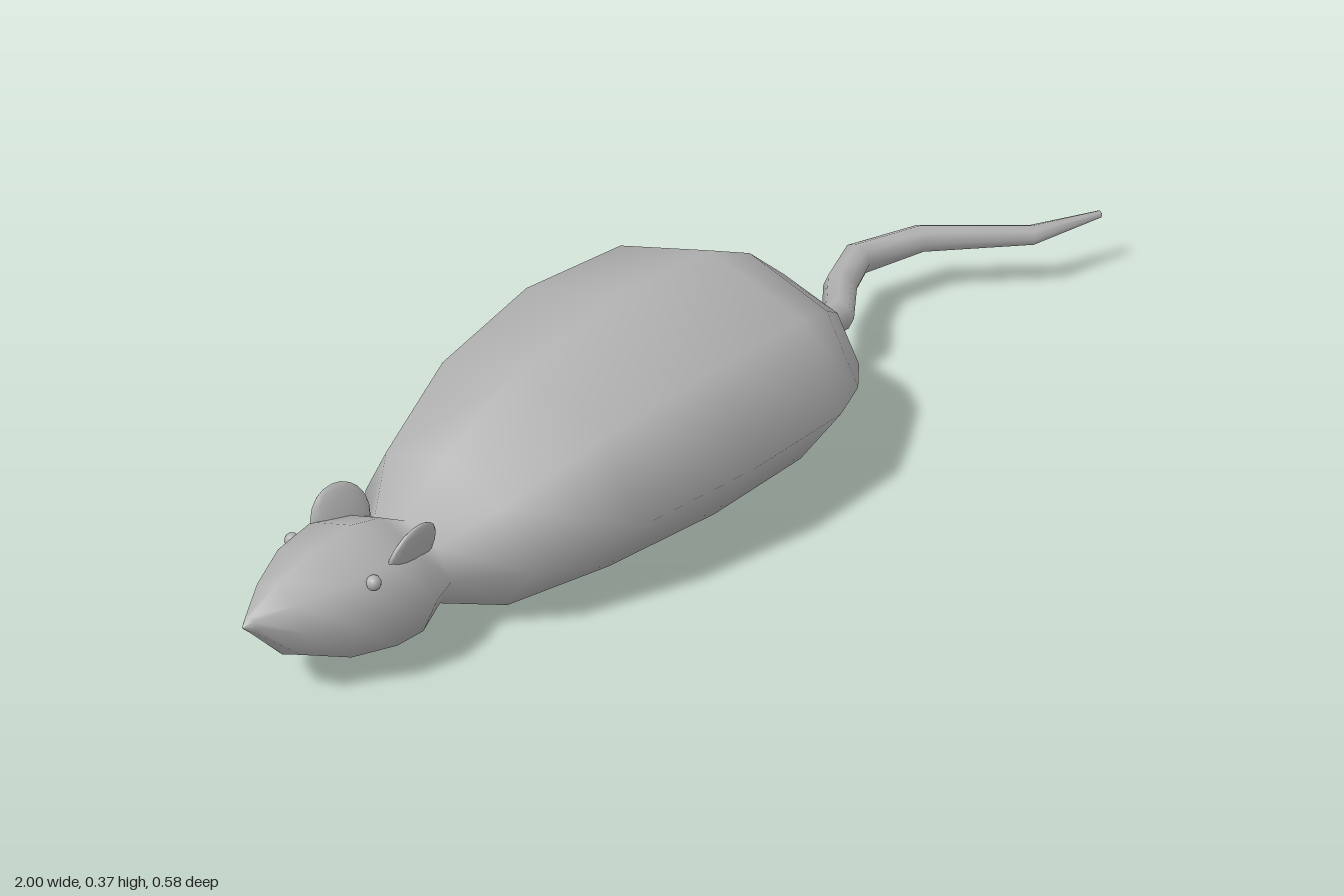
import * as THREE from 'three';

const SIDES = 8;

// Skin a list of 8-point rings into one smooth closed surface
function loft(rings) {
  const positions = rings.flat(2);
  const index = [];
  for (let i = 0; i < rings.length - 1; i++) {
    for (let k = 0; k < SIDES; k++) {
      const a = i * SIDES + k, b = i * SIDES + (k + 1) % SIDES;
      index.push(a, a + SIDES, b, b, a + SIDES, b + SIDES);
    }
  }
  const geometry = new THREE.BufferGeometry();
  geometry.setAttribute('position', new THREE.Float32BufferAttribute(positions, 3));
  geometry.setIndex(index);
  geometry.computeVertexNormals();
  return geometry;
}

const angles = Array.from({ length: SIDES }, (_, k) => (k / SIDES) * Math.PI * 2);

// Cross-section across x with separate upper and lower heights
function bodyRing([x, bottom, mid, top, halfWidth]) {
  return angles.map((a) => {
    const s = Math.sin(a);
    return [x, mid + s * (s > 0 ? top - mid : mid - bottom), halfWidth * Math.cos(a)];
  });
}

export function createModel() {
  const model = new THREE.Group();
  model.name = 'mouse';
  const grey = new THREE.MeshStandardMaterial({ color: 0xb0b0b0 });
  grey.name = 'grey fur';

  const add = (name, geometry, parent = model) => {
    const mesh = new THREE.Mesh(geometry, grey);
    mesh.name = name;
    parent.add(mesh);
    return mesh;
  };

  // Head and body: x, bottom, widest height, top, half width
  add('headAndBody', loft([
    [-1, 0.149, 0.15, 0.151, 0.001],
    [-0.985, 0.133, 0.148, 0.161, 0.014],
    [-0.93, 0.068, 0.132, 0.19, 0.062],
    [-0.86, 0.035, 0.12, 0.214, 0.105],
    [-0.78, 0.018, 0.115, 0.222, 0.125],
    [-0.72, 0.01, 0.11, 0.207, 0.116],
    [-0.67, 0.037, 0.11, 0.178, 0.096],
    [-0.585, 0.005, 0.12, 0.248, 0.18],
    [-0.41, 0.002, 0.15, 0.33, 0.25],
    [-0.19, 0, 0.168, 0.373, 0.288],
    [0.03, 0.002, 0.166, 0.366, 0.28],
    [0.13, 0.006, 0.155, 0.322, 0.235],
    [0.22, 0.018, 0.135, 0.247, 0.165],
    [0.27, 0.042, 0.118, 0.183, 0.1],
    [0.29, 0.08, 0.11, 0.135, 0.035],
    [0.291, 0.109, 0.11, 0.111, 0.001],
  ].map(bodyRing)));

  // Tail: x, y, z, radius
  const path = [
    [0.25, 0.107, 0, 0.03],
    [0.37, 0.107, -0.002, 0.03],
    [0.455, 0.107, -0.066, 0.03],
    [0.555, 0.107, -0.11, 0.03],
    [0.695, 0.107, -0.074, 0.026],
    [0.84, 0.106, 0.068, 0.019],
    [0.993, 0.105, 0.111, 0.007],
    [0.998, 0.105, 0.112, 0.0005],
  ];
  add('tail', loft(path.map(([x, y, z, r], i) => {
    const p = path[Math.max(i - 1, 0)], n = path[Math.min(i + 1, path.length - 1)];
    const heading = Math.atan2(n[2] - p[2], n[0] - p[0]);
    return angles.map((a) => [
      x - Math.sin(heading) * r * Math.cos(a),
      y + r * Math.sin(a),
      z + Math.cos(heading) * r * Math.cos(a),
    ]);
  })));

  // Ears and eyes, mirrored across the head
  for (const side of [1, -1]) {
    const ear = add(side > 0 ? 'frontEar' : 'backEar', new THREE.SphereGeometry(0.055, 16, 10));
    ear.scale.z = 0.2;
    ear.position.set(-0.732, 0.182, side * 0.076);
    ear.rotation.set(side * 0.3, side * 0.1, 0);

    const eye = add(side > 0 ? 'frontEye' : 'backEye', new THREE.SphereGeometry(0.012, 10, 8));
    eye.position.set(-0.82, 0.178, side * 0.088);
  }
  return model;
}
